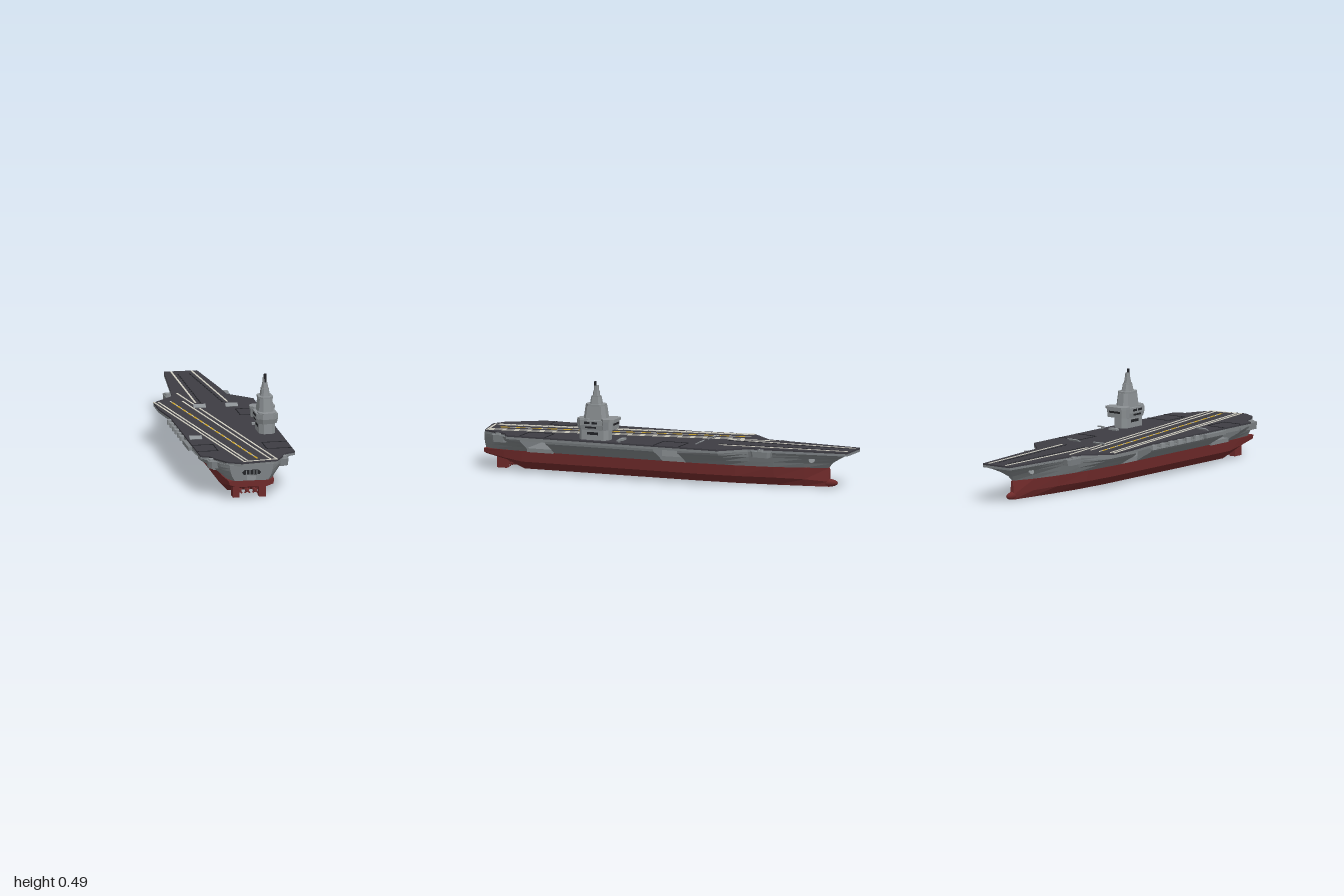
import * as THREE from 'three';

const mat = (name, color) => {
  const m = new THREE.MeshStandardMaterial({ color });
  m.name = name;
  return m;
};

export function createModel() {
  const ship = new THREE.Group();
  ship.name = 'aircraftCarrier';
  const grey = mat('hullGrey', 0x7d8285);
  const light = mat('towerGrey', 0x8b9093);
  const red = mat('hullRed', 0x6f2a2a);
  const deckMat = mat('deckDark', 0x3d3c43);
  const cream = mat('markingCream', 0xd2cfc2);
  const yellow = mat('markingYellow', 0xc9a22c);
  const dark = mat('darkDetail', 0x222327);

  const add = (name, geo, material, x = 0, y = 0, z = 0) => {
    const m = new THREE.Mesh(geo, material);
    m.name = name;
    m.position.set(x, y, z);
    ship.add(m);
    return m;
  };
  const box = (name, material, w, h, d, x, y, z) =>
    add(name, new THREE.BoxGeometry(w, h, d), material, x, y, z);

  // Closed faceted loft through mirrored rings, each a list of [xRight, xLeft, y, z]
  function loft(rings) {
    const n = rings[0].length, N = n * 2, out = [];
    const R = rings.map(r => [
      ...r.map(p => [p[0], p[2], p[3]]),
      ...[...r].reverse().map(p => [-p[1], p[2], p[3]])]);
    const quad = (a, b, c, d) => out.push(...a, ...b, ...c, ...a, ...c, ...d);
    for (let i = 0; i < R.length - 1; i++)
      for (let j = 0; j < N; j++) {
        const k = (j + 1) % N;
        quad(R[i][j], R[i + 1][j], R[i + 1][k], R[i][k]);
      }
    const A = R[0], B = R[R.length - 1];
    for (let j = 0; j < n - 1; j++) {
      quad(A[j], A[j + 1], A[N - 2 - j], A[N - 1 - j]);
      quad(B[j], B[N - 1 - j], B[N - 2 - j], B[j + 1]);
    }
    const g = new THREE.BufferGeometry();
    g.setAttribute('position', new THREE.Float32BufferAttribute(out, 3));
    g.computeVertexNormals();
    return g;
  }

  // Lower hull: z, bottom half width, bottom y, chine half width, chine y, waterline half width
  const lower = [
    [0.97, 0.08, 0.068, 0.112, 0.08, 0.116],
    [0.86, 0.085, 0.045, 0.122, 0.06, 0.127],
    [0.76, 0.085, 0.004, 0.125, 0.045, 0.13],
    [-0.2, 0.085, 0.004, 0.125, 0.045, 0.13],
    [-0.4, 0.076, 0.004, 0.113, 0.045, 0.118],
    [-0.6, 0.052, 0.004, 0.083, 0.045, 0.09],
    [-0.75, 0.028, 0.004, 0.045, 0.04, 0.05],
    [-0.87, 0.008, 0.004, 0.012, 0.03, 0.005]];
  add('lowerHull', loft(lower.map(([z, b, y0, c, y1, w]) =>
    [[b, b, y0, z], [c, c, y1, z], [w, w, 0.1, z]])), red);
  const bulb = add('bowBulb', new THREE.SphereGeometry(1, 10, 8), red, 0, 0.024, -0.865);
  bulb.scale.set(0.016, 0.02, 0.05);

  // Upper hull blocks: z, forward rake, half widths at five heights
  const heights = [0.1, 0.125, 0.15, 0.165, 0.182];
  const upper = rows => loft(rows.map(([z, rake, ...w]) => w.map((x, i) => {
    const t = (heights[i] - 0.1) / 0.082;
    return [x, Math.min(x, 0.228), heights[i], z - rake * Math.pow(t, 1.6)];
  })));
  const full = [0.13, 0.17, 0.215, 0.248, 0.252];
  add('sternHull', upper([
    [0.97, 0, 0.085, 0.1, 0.108, 0.11, 0.11],
    [0.92, 0, 0.115, 0.13, 0.142, 0.148, 0.15],
    [0.8, 0, 0.126, 0.155, 0.19, 0.215, 0.225],
    [0.72, 0, 0.13, 0.165, 0.21, 0.24, 0.25]]), grey);
  add('midHull', upper([[0.58, 0, ...full], [-0.01, 0, ...full]]), grey);
  add('recessHull', upper([-0.01, -0.14].map(z => [z, 0, 0.13, 0.135, 0.135, 0.135, 0.135])), light);
  add('bowHull', upper([
    [-0.14, 0, ...full],
    [-0.36, 0, 0.12, 0.15, 0.2, 0.238, 0.248],
    [-0.48, 0, 0.106, 0.117, 0.127, 0.132, 0.137],
    [-0.6, 0, 0.088, 0.098, 0.108, 0.115, 0.125],
    [-0.75, 0.03, 0.05, 0.062, 0.078, 0.09, 0.108],
    [-0.865, 0.133, 0.003, 0.014, 0.034, 0.056, 0.083]]), grey);
  // Open hangar bay running across the ship
  box('hangarFloor', grey, 0.3, 0.02, 0.14, 0, 0.11, 0.65);
  box('hangarCeiling', grey, 0.44, 0.016, 0.14, 0, 0.174, 0.65);

  // Flight deck outline, x and z
  const outline = [[-0.085, -1], [0.085, -1], [0.13, -0.61], [0.14, -0.48], [0.255, -0.36],
    [0.255, 0.79], [0.2, 0.82], [0.175, 0.88], [0.135, 0.955], [-0.05, 0.99], [-0.125, 0.95],
    [-0.165, 0.88], [-0.19, 0.82], [-0.23, 0.8], [-0.23, -0.04], [-0.255, -0.22],
    [-0.255, -0.36], [-0.14, -0.48], [-0.125, -0.6]];
  const slab = (pts, h) => new THREE.ExtrudeGeometry(
    new THREE.Shape(pts.map(p => new THREE.Vector2(...p))),
    { depth: h, bevelEnabled: false }).rotateX(Math.PI / 2);
  add('deckEdge', slab(outline, 0.012), grey, 0, 0.19, 0);
  add('flightDeck', slab(outline, 0.008), deckMat, 0, 0.198, 0);

  // Painted lines
  const strip = (name, material, x1, z1, x2, z2, w, y = 0.1985) => {
    const m = box(name, material, w, 0.003, Math.hypot(x2 - x1, z2 - z1), (x1 + x2) / 2, y, (z1 + z2) / 2);
    m.rotation.y = Math.atan2(x2 - x1, z2 - z1);
  };
  const slope = 0.163;
  const runway = (name, material, x, z1, z2, w) =>
    strip(name, material, x - slope * (0.95 - z1), z1, x - slope * (0.95 - z2), z2, w);
  for (const [x, end] of [[-0.04, -0.36], [-0.018, -0.36], [0.105, -0.36], [0.136, -0.53]])
    runway('runwayLine', cream, x, 0.95, end, 0.009);
  for (let i = 0; i < 16; i++) {
    const z = 0.91 - i * 0.08;
    runway('centreDash', yellow, 0.046, z, z - 0.048, 0.011);
    runway('centreGap', cream, 0.046, z - 0.048, z - 0.08, 0.006);
  }
  strip('sternLine', cream, -0.042, 0.968, 0.138, 0.942, 0.01);
  strip('catapultLine', cream, -0.05, -0.99, -0.05, -0.31, 0.009);
  strip('catapultLine', cream, 0.055, -0.99, 0.113, -0.31, 0.009);
  for (let i = 0; i < 16; i++) {
    const z = -0.93 + i * 0.04;
    strip('catapultSlot', dark, -0.025, z, -0.025, z + 0.025, 0.006);
    strip('catapultSlot', dark, 0.035 + i * 0.0034, z, 0.037 + i * 0.0034, z + 0.025, 0.006);
  }

  // Lift outlines
  for (const [x1, x2, z1, z2] of [[0.125, 0.254, -0.15, -0.015], [0.125, 0.254, 0.58, 0.715], [-0.125, -0.229, 0.58, 0.715]]) {
    strip('liftSeam', dark, x1, z1, x1, z2, 0.005);
    for (const z of [z1, z2]) strip('liftSeam', dark, x1, z, x2, z, 0.005);
  }

  // Tilted blast deflectors
  for (const [x, z] of [[-0.048, -0.21], [0.116, -0.21], [-0.19, 0.45]])
    box('blastDeflector', light, 0.063, 0.005, 0.027, x, 0.206, z).rotation.x = 0.5;

  // Chamfered block with a scaled top
  function tier(name, material, x, z, w, d, y0, y1, top = 1, cut = 0.25) {
    const a = w / 2, b = d / 2, c = Math.min(w, d) * cut;
    const g = slab([[-a + c, -b], [a - c, -b], [a, -b + c], [a, b - c], [a - c, b],
      [-a + c, b], [-a, b - c], [-a, -b + c]], y1 - y0);
    const p = g.attributes.position;
    for (let i = 0; i < p.count; i++) {
      const s = p.getY(i) > -(y1 - y0) / 2 ? top : 1;
      p.setX(i, p.getX(i) * s);
      p.setZ(i, p.getZ(i) * s);
    }
    g.computeVertexNormals();
    return add(name, g, material, x, y1, z);
  }

  // Island tower
  const ix = 0.187, iz = 0.33;
  tier('towerBase', light, ix, iz, 0.082, 0.16, 0.195, 0.255);
  tier('bridgeFlare', light, ix, iz, 0.1, 0.165, 0.25, 0.275, 1.1);
  tier('bridge', light, ix, iz, 0.108, 0.18, 0.275, 0.3);
  tier('bridgePlatform', light, ix, 0.245, 0.128, 0.07, 0.298, 0.31);
  tier('bridgeWings', light, ix, 0.25, 0.116, 0.06, 0.255, 0.298, 1.05);
  tier('aftPlatform', light, ix, 0.375, 0.09, 0.09, 0.298, 0.306);
  tier('upperTower', light, ix, 0.325, 0.076, 0.125, 0.3, 0.372, 0.84);
  tier('towerCap', light, ix, 0.325, 0.074, 0.1, 0.37, 0.38);
  tier('mastHouse', light, ix, 0.325, 0.046, 0.062, 0.38, 0.415, 0.8);
  tier('mastPlatform', light, ix, 0.325, 0.036, 0.048, 0.412, 0.42);
  tier('mastLower', light, ix, 0.325, 0.03, 0.034, 0.42, 0.447, 0.85);
  tier('mastUpper', light, ix, 0.325, 0.022, 0.024, 0.447, 0.472, 0.9);
  add('mastPole', new THREE.CylinderGeometry(0.007, 0.007, 0.075, 8), dark, ix, 0.454, 0.331);
  for (const s of [-1, 1]) {
    box('towerWindow', dark, 0.004, 0.014, 0.06, ix + s * 0.0405, 0.232, 0.33);
    for (const z of [0.315, 0.355]) box('bridgeWindow', dark, 0.004, 0.011, 0.03, ix + s * 0.0535, 0.287, z);
    box('sideWindow', dark, 0.004, 0.009, 0.06, ix + s * 0.0525, 0.264, 0.335);
  }
  box('bridgeFrontWindow', dark, 0.07, 0.01, 0.004, ix, 0.283, 0.219);
  // Deck fittings beside the tower
  box('deckBoom', light, 0.036, 0.006, 0.01, 0.244, 0.21, 0.18);
  box('deckBoomPost', grey, 0.008, 0.014, 0.01, 0.235, 0.203, 0.18);
  box('deckCrate', light, 0.05, 0.01, 0.02, 0.17, 0.203, 0.19);

  // Side platforms at bow and stern
  for (const s of [-1, 1]) {
    tier('bowSponson', grey, s * 0.138, -0.555, 0.05, 0.1, 0.155, 0.185, 1.1);
    tier('sternSponson', grey, s * 0.175, 0.855, 0.055, 0.08, 0.15, 0.186, 1.1);
    tier('sponsonMount', light, s * 0.15, -0.555, 0.022, 0.03, 0.18, 0.195);
    tier('sponsonMount', light, s * 0.187, 0.86, 0.022, 0.03, 0.18, 0.195);
    const anchor = add('anchorRecess', new THREE.CylinderGeometry(0.016, 0.016, 0.008, 12), light, s * 0.067, 0.145, -0.8);
    anchor.rotation.set(0, 0.25 * s, s * 1.95);
  }
  // Left side gallery
  box('sideGallery', grey, 0.03, 0.018, 0.16, -0.235, 0.178, 0.49);
  box('sideWalkway', grey, 0.022, 0.008, 0.42, -0.23, 0.169, 0.19);
  for (let i = 0; i < 6; i++)
    tier('galleryMount', light, -0.24, -0.01 + i * 0.07, 0.022, 0.03, 0.168, 0.192);

  // Stern opening and door
  const mouth = new THREE.Shape([[-0.05, 0.142], [-0.04, 0.131], [0.04, 0.131], [0.05, 0.142],
    [0.035, 0.155], [-0.035, 0.155]].map(p => new THREE.Vector2(...p)));
  add('sternOpening', new THREE.ExtrudeGeometry(mouth, { depth: 0.003, bevelEnabled: false }), dark, 0, 0, 0.969);
  for (const x of [-0.026, -0.008, 0.012, 0.028])
    box('sternPost', grey, 0.006, 0.022, 0.004, x, 0.143, 0.971);
  box('sternDoor', light, 0.046, 0.022, 0.004, 0, 0.114, 0.97);

  // Rudders, screws and bottom fittings
  for (const s of [-1, 1]) box('rudder', red, 0.034, 0.06, 0.055, s * 0.067, 0.03, 0.885);
  for (const x of [-0.04, 0, 0.04]) {
    const shaft = add('screwShaft', new THREE.CylinderGeometry(0.008, 0.008, 0.12, 8), red, x, 0.021, 0.8);
    shaft.rotation.x = Math.PI / 2;
    const hub = add('screwHub', new THREE.CylinderGeometry(0.007, 0.012, 0.022, 10), red, x, 0.021, 0.855);
    hub.rotation.x = Math.PI / 2;
    for (let k = 0; k < 2; k++)
      box('screwBlade', red, 0.008, 0.036, 0.004, x, 0.021, 0.853).rotation.z = k * Math.PI / 2 + 0.78;
  }
  for (const z of [-0.39, 0.6])
    add('bottomDisc', new THREE.CylinderGeometry(0.026, 0.026, 0.006, 14), red, 0, 0.003, z);

  return ship;
}
